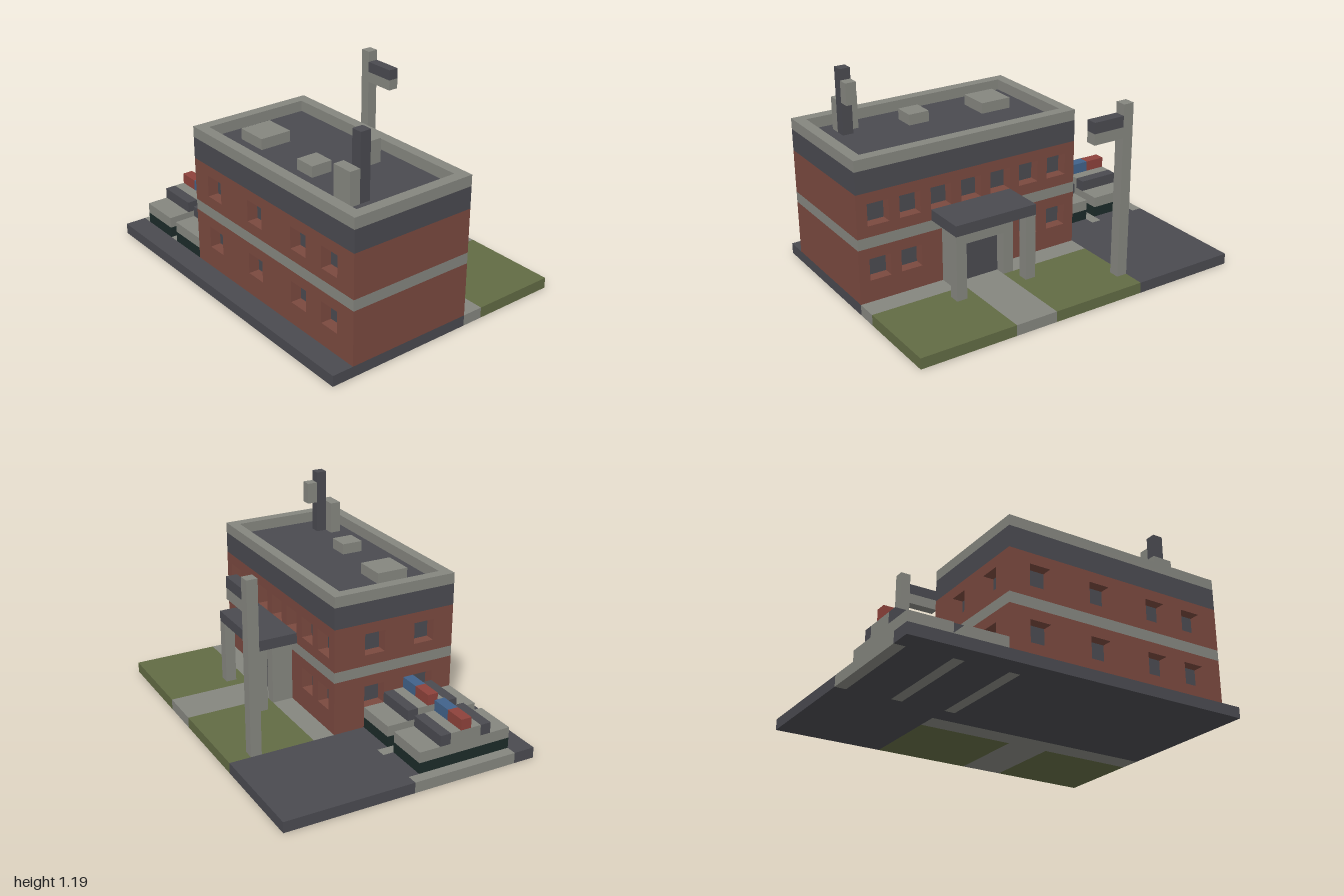
import * as THREE from 'three';

const V = 1 / 16; // block unit

export function createModel() {
  const root = new THREE.Group();
  root.name = 'station';
  const mat = (name, color) => {
    const m = new THREE.MeshStandardMaterial({ color });
    m.name = name;
    return m;
  };
  const asphalt = mat('dark grey', 0x4a4a50);
  const stone = mat('light grey', 0x85867f);
  const brick = mat('brick', 0x7a493f);
  const grass = mat('grass', 0x626b44);
  const red = mat('red', 0x8d423b);
  const blue = mat('blue', 0x41628a);
  const tyre = mat('dark green', 0x1c2b29);

  const group = (name, parent = root) => {
    const g = new THREE.Group();
    g.name = name;
    parent.add(g);
    return g;
  };
  // box given by its limits on each axis
  const box = (parent, name, m, x0, x1, y0, y1, z0, z1) => {
    const mesh = new THREE.Mesh(new THREE.BoxGeometry(x1 - x0, y1 - y0, z1 - z0), m);
    mesh.position.set((x0 + x1) / 2, (y0 + y1) / 2, (z0 + z1) / 2);
    mesh.name = name;
    parent.add(mesh);
    return mesh;
  };
  const rect = (P, x0, x1, y0, y1) => {
    const p = new P();
    p.moveTo(x0, y0);
    p.lineTo(x1, y0);
    p.lineTo(x1, y1);
    p.lineTo(x0, y1);
    p.closePath();
    return p;
  };

  // ground slab
  const ground = group('ground');
  const slab = (name, m, x0, x1, z0, z1) => box(ground, name, m, x0, x1, 0, V, z0, z1);
  slab('parkingLot', asphalt, -1, -0.375, -0.75, 0);
  slab('frontRoad', asphalt, -1, 1, 0.625, 0.75);
  slab('foundationBack', asphalt, -0.375, 1, -0.125, 0);
  slab('foundation', asphalt, -0.3125, 1, 0, 0.625);
  for (const x of [-0.9375, -0.625]) slab('parkingBay', asphalt, x, x + 0.25, 0, 0.625);
  for (const x of [-1, -0.6875, -0.375]) slab('parkingLine', stone, x, x + V, 0, 0.625);
  slab('sidewalk', stone, -0.375, 1, -0.25, -0.125);
  slab('path', stone, 0.1875, 0.4375, -0.75, -0.25);
  slab('lawn', grass, -0.375, 0.1875, -0.75, -0.25);
  slab('lawn', grass, 0.4375, 1, -0.75, -0.25);

  // building: dark core shows through window openings and forms the roof
  const building = group('building');
  box(building, 'roofAndGlass', asphalt, -0.3125, 0.9375, V, 0.8125, -0.0625, 0.5625);

  const wall = (name, u0, u1, y0, y1, windows, wy) => {
    const s = rect(THREE.Shape, u0, u1, y0, y1);
    for (const u of windows) s.holes.push(rect(THREE.Path, u, u + 0.125, wy, wy + 0.125));
    const mesh = new THREE.Mesh(new THREE.ExtrudeGeometry(s, { depth: V, bevelEnabled: false }), brick);
    mesh.name = name;
    building.add(mesh);
    return mesh;
  };
  const frontWin = [-0.25, 0.125, 0.5, 0.75];
  const backUpper = [-0.3125, -0.125, 0.0625, 0.25, 0.4375, 0.625, 0.8125];
  const backLower = [-0.3125, -0.125, 0.625, 0.8125];
  const sideWin = [0.0625, 0.375];
  const storeys = [[V, 0.375, 0.1875, backLower], [0.4375, 0.6875, 0.5, backUpper]];
  for (const [y0, y1, wy, backWin] of storeys) {
    wall('frontWall', -0.375, 1, y0, y1, frontWin, wy).position.z = 0.5625;
    wall('backWall', -0.375, 1, y0, y1, backWin, wy).position.z = -0.125;
    for (const [name, x, wins] of [['rightWall', -0.3125, sideWin], ['leftWall', 1, []]]) {
      const w = wall(name, -0.0625, 0.5625, y0, y1, wins, wy);
      w.rotation.y = -Math.PI / 2;
      w.position.x = x;
    }
  }

  // horizontal bands and parapet as hollow rings
  const ring = (name, m, y0, y1) => {
    const s = rect(THREE.Shape, -0.375, 1, -0.625, 0.125);
    s.holes.push(rect(THREE.Path, -0.3125, 0.9375, -0.5625, 0.0625));
    const mesh = new THREE.Mesh(new THREE.ExtrudeGeometry(s, { depth: y1 - y0, bevelEnabled: false }), m);
    mesh.rotation.x = -Math.PI / 2;
    mesh.position.y = y0;
    mesh.name = name;
    building.add(mesh);
  };
  ring('floorBand', stone, 0.375, 0.4375);
  ring('upperBand', asphalt, 0.6875, 0.8125);
  ring('parapet', stone, 0.8125, 0.875);

  // roof equipment
  const roof = group('roofEquipment');
  box(roof, 'largeVent', stone, -0.1875, 0, 0.8125, 0.875, 0.25, 0.4375);
  box(roof, 'smallVent', stone, 0.3125, 0.4375, 0.8125, 0.875, 0.3125, 0.4375);
  box(roof, 'antennaMast', asphalt, 0.75, 0.8125, 0.8125, 1.1875, 0.375, 0.4375);
  box(roof, 'antennaCabinet', stone, 0.6875, 0.8125, 0.8125, 1, 0.4375, 0.5);
  box(roof, 'antennaPanel', stone, 0.75, 0.8125, 1, 1.125, 0.3125, 0.375);

  // entrance porch at the back
  const porch = group('porch');
  box(porch, 'canopy', asphalt, 0.0625, 0.5625, 0.4375, 0.5, -0.375, -0.125);
  for (const x of [0.0625, 0.5]) box(porch, 'porchPost', stone, x, x + V, V, 0.4375, -0.375, -0.3125);
  for (const x of [0.125, 0.4375]) box(porch, 'doorJamb', stone, x, x + V, V, 0.4375, -0.25, -0.125);
  box(porch, 'lintel', stone, 0.1875, 0.4375, 0.3125, 0.4375, -0.25, -0.125);
  box(porch, 'door', asphalt, 0.1875, 0.4375, V, 0.3125, -0.1875, -0.125);

  // flagpole
  const flag = group('flagpole');
  box(flag, 'pole', stone, -0.375, -0.3125, V, 1.0625, -0.625, -0.5625);
  box(flag, 'flagTop', asphalt, -0.3125, -0.125, 0.9375, 1, -0.625, -0.5625);
  box(flag, 'flagBottom', stone, -0.3125, -0.125, 0.875, 0.9375, -0.625, -0.5625);

  // two parked cars
  for (const x of [-0.9375, -0.625]) {
    const car = group('patrolCar');
    const e = x + 0.25;
    box(car, 'chassis', tyre, x, e, V, 0.125, 0.0625, 0.625);
    box(car, 'body', stone, x, e, 0.125, 0.1875, 0.0625, 0.625);
    box(car, 'cabin', stone, x, e, 0.1875, 0.25, 0.25, 0.4375);
    box(car, 'rearWindow', asphalt, x, e, 0.1875, 0.25, 0.1875, 0.25);
    box(car, 'windscreen', asphalt, x, e, 0.1875, 0.25, 0.4375, 0.5);
    box(car, 'redLight', red, x, x + 0.125, 0.25, 0.3125, 0.3125, 0.375);
    box(car, 'blueLight', blue, x + 0.125, e, 0.25, 0.3125, 0.3125, 0.375);
  }
  return root;
}
